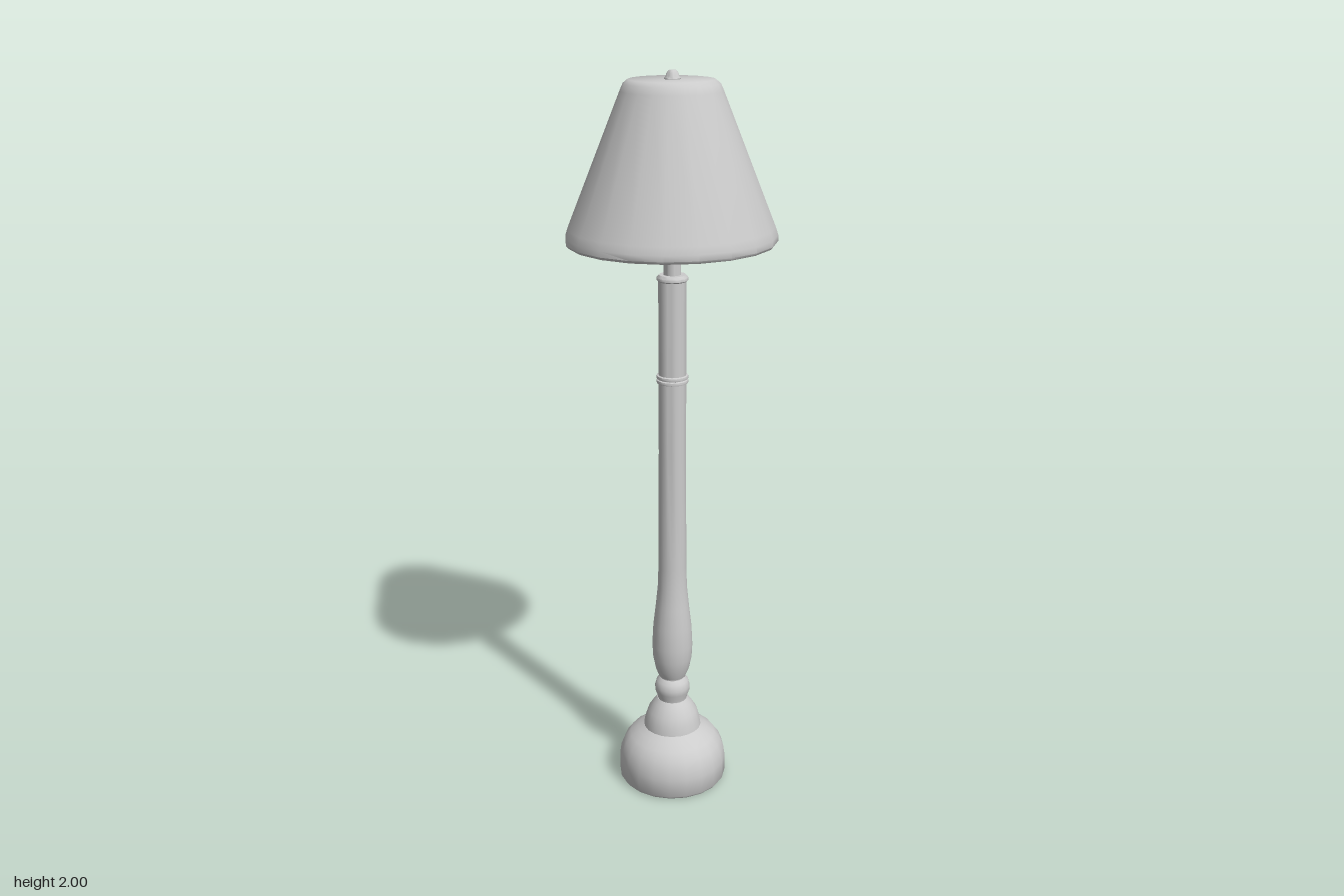
import * as THREE from 'three';
import { toCreasedNormals } from 'three/addons/utils/BufferGeometryUtils.js';

const material = new THREE.MeshStandardMaterial({ color: 0xcccccc });
const AXIS_Z = 0.003; // the turned stand sits a hair forward of the shade

// Turned part: profile of [radius, height] pairs running up the outside
function turned(name, profile, z = AXIS_Z, segments = 20, reshape) {
  const points = profile.map(([r, y]) => new THREE.Vector2(r, y));
  const geometry = new THREE.LatheGeometry(points, segments);
  if (reshape) reshape(geometry.attributes.position);
  const mesh = new THREE.Mesh(toCreasedNormals(geometry, 0.75), material);
  mesh.name = name;
  mesh.position.z = z;
  return mesh;
}

// The shade is round at the top and slightly narrower in z at the rim
function flattenRim(position) {
  for (let i = 0; i < position.count; i++) {
    const r = Math.hypot(position.getX(i), position.getZ(i));
    const t = THREE.MathUtils.clamp((r - 0.12) / 0.158, 0, 1);
    position.setZ(i, position.getZ(i) * (1 - 0.047 * t));
  }
}

export function createModel() {
  const lamp = new THREE.Group();
  lamp.name = 'floorLamp';

  // Domed foot with a stepped bulge above it
  lamp.add(turned('base', [
    [0, 0], [0.147, 0], [0.153, 0.008], [0.153, 0.06], [0.149, 0.088],
    [0.139, 0.112], [0.122, 0.135], [0.1, 0.15], [0.082, 0.162],
    [0.078, 0.185], [0.07, 0.21], [0.054, 0.235], [0.043, 0.248], [0, 0.248],
  ]));

  // Bead between foot and column
  lamp.add(turned('neckBead', [
    [0.041, 0.24], [0.042, 0.255], [0.049, 0.272], [0.05, 0.287],
    [0.045, 0.305], [0.034, 0.315], [0.034, 0.325], [0, 0.325],
  ]));

  // Vase-shaped lower column running into the straight shaft
  lamp.add(turned('column', [
    [0, 0.315], [0.038, 0.32], [0.048, 0.345], [0.055, 0.38], [0.057, 0.42],
    [0.054, 0.48], [0.047, 0.54], [0.041, 0.6], [0.039, 0.66],
    [0.037, 1.0], [0.037, 1.475], [0, 1.475],
  ]));

  // Double collar around the shaft, and the cap at its top
  for (const y of [1.201, 1.213]) {
    lamp.add(turned('collarRing', [
      [0.036, y - 0.006], [0.042, y - 0.004], [0.043, y], [0.042, y + 0.004], [0.036, y + 0.006],
    ]));
  }
  lamp.add(turned('columnCap', [
    [0.036, 1.47], [0.041, 1.474], [0.041, 1.481], [0.035, 1.488], [0, 1.488],
  ]));

  // Thin rod up to the shade
  lamp.add(turned('rod', [[0, 1.48], [0.023, 1.48], [0.022, 1.975], [0, 1.975]], AXIS_Z, 16));

  // Thick-walled shade: inside ceiling, inner wall, rim, outer wall, lid
  lamp.add(turned('shade', [
    [0, 1.93], [0.085, 1.93], [0.217, 1.57], [0.272, 1.57], [0.278, 1.577],
    [0.277, 1.592], [0.27, 1.612], [0.13, 1.95], [0.122, 1.968],
    [0.11, 1.978], [0, 1.978],
  ], 0, 20, flattenRim));

  // Small knob on the lid
  lamp.add(turned('finial', [
    [0.02, 1.975], [0.021, 1.98], [0.017, 1.986], [0.015, 1.993], [0.009, 2], [0, 2],
  ], AXIS_Z, 12));

  return lamp;
}
